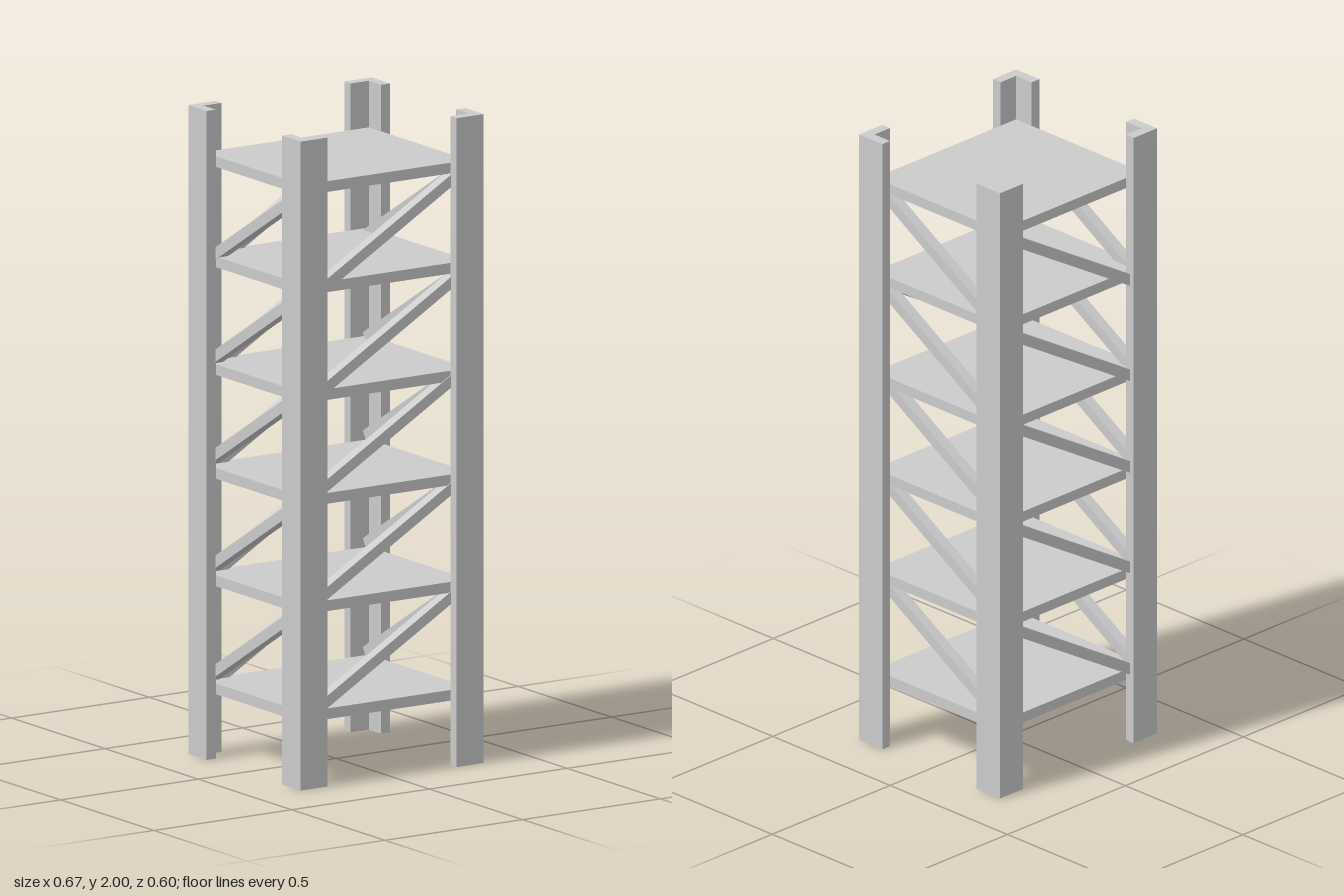
import * as THREE from 'three';

const material = new THREE.MeshStandardMaterial({ color: 0xcccccc, flatShading: true });

function addBox(parent, name, size, position) {
  const mesh = new THREE.Mesh(new THREE.BoxGeometry(...size), material);
  mesh.name = name;
  mesh.position.set(...position);
  parent.add(mesh);
  return mesh;
}

// L-section upright with its outer corner at (sx * X, sz * Z)
function cornerPost(sx, sz) {
  const X = 0.333, Z = 0.3, w = 0.099, t = 0.033;
  let points = [[X, Z], [X - w, Z], [X - w, Z - t], [X - t, Z - t], [X - t, Z - w], [X, Z - w]];
  points = points.map(([x, z]) => new THREE.Vector2(x * sx, -z * sz));
  const geometry = new THREE.ExtrudeGeometry(new THREE.Shape(points), { depth: 2, bevelEnabled: false });
  geometry.rotateX(-Math.PI / 2);
  const mesh = new THREE.Mesh(geometry, material);
  mesh.name = 'cornerPost';
  return mesh;
}

export function createModel() {
  const group = new THREE.Group();
  group.name = 'shelfTower';

  // Four angle-iron uprights
  for (const sx of [-1, 1]) for (const sz of [-1, 1]) group.add(cornerPost(sx, sz));

  // Six flat decks
  for (const y of [0.215, 0.548, 0.879, 1.199, 1.531, 1.84]) {
    addBox(group, 'shelf', [0.6, 0.033, 0.534], [0, y, 0]);
  }

  // One diagonal per face in each bay: rising to +x on front and back, to +z on the sides
  const bar = 0.033, depth = 0.035;
  for (const y of [0.378, 0.713, 1.045, 1.348, 1.663]) {
    for (const [name, z] of [['frontBrace', 0.2525], ['backBrace', -0.2675]]) {
      addBox(group, name, [0.62, bar, depth], [0, y, z]).rotation.z = Math.atan(0.587);
    }
    for (const sx of [-1, 1]) {
      addBox(group, 'sideBrace', [depth, bar, 0.56], [sx * 0.2835, y + 0.014, 0]).rotation.x = -Math.atan(0.595);
    }
  }
  return group;
}
